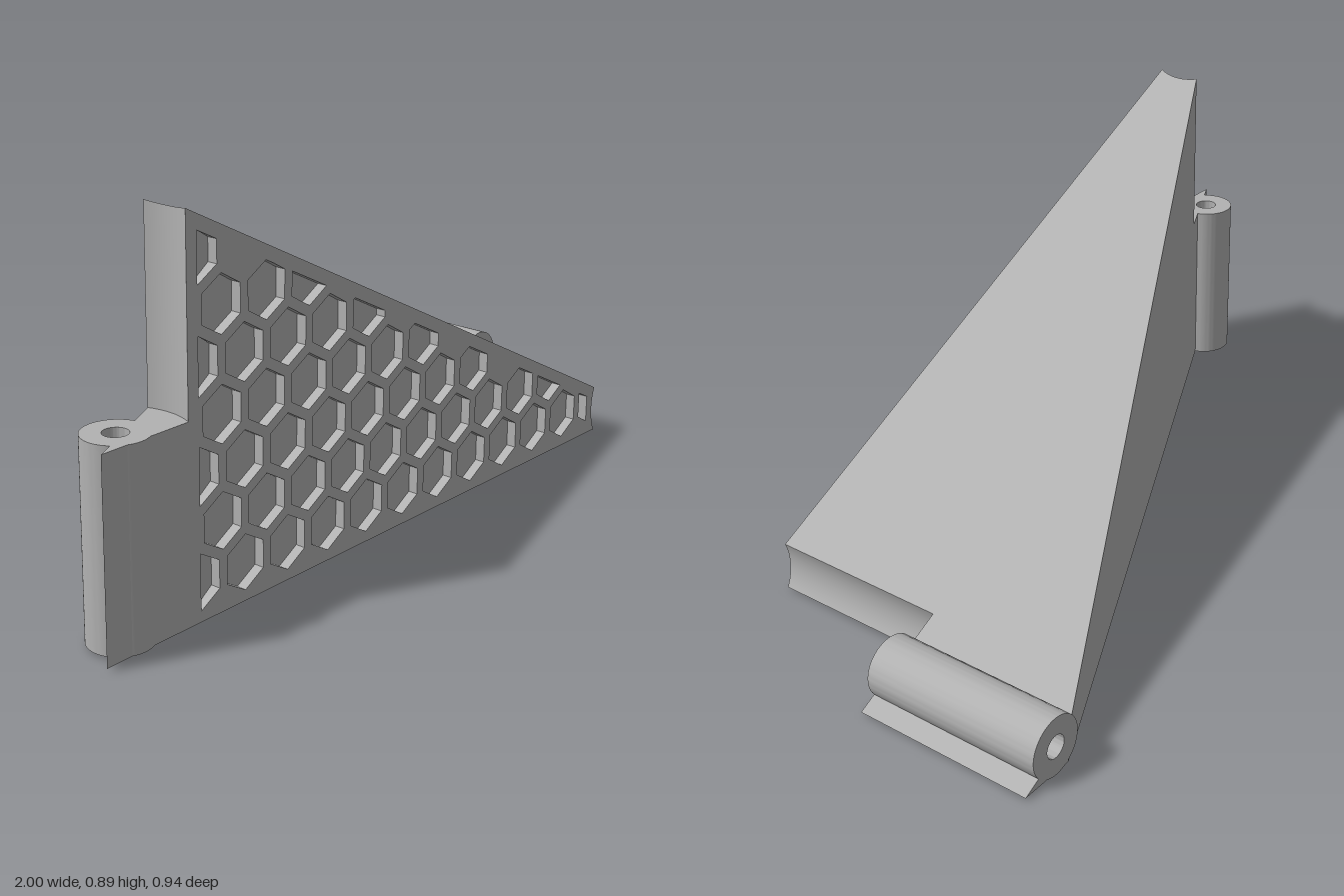
import * as THREE from 'three';
import { toCreasedNormals } from 'three/addons/utils/BufferGeometryUtils.js';

// The body is a tetrahedral wedge made of two alike halves (front + back wall, bottom + slope).
// Local frame of a half: u along the wedge, v depth below the panel, w along the hinge.
const BASE = 0.007, FRONT = 0.46;
const AXIS = [-0.9, 0.066], BARREL_R = 0.073, BORE_R = 0.028, NOTCH_R = 0.15;
const DEPTH = 0.024, PITCH = 0.1343, HEX_R = 0.064;

const grey = new THREE.MeshStandardMaterial({ color: 0xb2b2b2, side: THREE.DoubleSide });
grey.name = 'grey plastic';

// Points on a circle round the hinge axis
function arc(r, a0, a1, n) {
  return Array.from({ length: n + 1 }, (_, i) => {
    const a = a0 + (a1 - a0) * i / n;
    return [AXIS[0] + r * Math.cos(a), AXIS[1] + r * Math.sin(a)];
  });
}
// Where circles round the axis meet the sloping plane v = (u + 1) / 2
const slopeV = u => (u + 1) / 2;
const edgeW = u => (1 - u) / 2;
const normalA = Math.atan2(-2, 1);
const axisGap = (AXIS[1] - slopeV(AXIS[0])) * 2 / Math.sqrt(5);
const spread = r => Math.acos(axisGap / r);
const notch = arc(NOTCH_R, Math.asin(-AXIS[1] / NOTCH_R), normalA + spread(NOTCH_R), 12);
const bite = arc(BORE_R, normalA + spread(BORE_R), normalA - spread(BORE_R), 10);
const notchFront = notch[0][0], notchBack = notch[12][0];
const boreNear = bite[0][0], boreFar = bite[10][0];
const mirror = pts => pts.map(([u, v]) => [-u, v]);

const toShape = pts => new THREE.Shape(pts.map(p => new THREE.Vector2(...p)));
const mesh = (geo, name) => {
  const m = new THREE.Mesh(geo, grey);
  m.name = name;
  return m;
};

// Flat face: a 2D shape placed in the local frame by a rule
function face(shapes, place, name) {
  const geo = new THREE.ShapeGeometry(shapes);
  const pos = geo.attributes.position;
  for (let i = 0; i < pos.count; i++) pos.setXYZ(i, ...place(pos.getX(i), pos.getY(i)));
  geo.computeVertexNormals();
  return mesh(geo, name);
}

// Ribbon of quads between two matching rows of points
function ribbon(a, b, smooth, name) {
  const index = [];
  const n = a.length;
  for (let i = 0; i < n - 1; i++) index.push(i, i + 1, n + i, i + 1, n + i + 1, n + i);
  let geo = new THREE.BufferGeometry();
  geo.setAttribute('position', new THREE.Float32BufferAttribute([...a, ...b].flat(), 3));
  geo.setIndex(index);
  if (!smooth) geo = geo.toNonIndexed();
  geo.computeVertexNormals();
  return mesh(geo, name);
}

// Keep the part of a polygon where f >= 0
function clip(poly, f) {
  const out = [];
  poly.forEach((p, i) => {
    const q = poly[(i + 1) % poly.length], fp = f(p), fq = f(q);
    if (fp >= 0) out.push(p);
    if (fp * fq < 0) {
      const t = fp / (fp - fq);
      out.push([p[0] + (q[0] - p[0]) * t, p[1] + (q[1] - p[1]) * t]);
    }
  });
  return out;
}

// Honeycomb cells trimmed to the triangular panel
const LEFT = -0.735, RIGHT = 0.725;
function honeycomb() {
  const cells = [];
  for (let row = 0; row < 7; row++) {
    for (let col = 0; col < 12; col++) {
      const s = LEFT + (col + (row % 2) / 2) * PITCH;
      const t = 0.089 + row * PITCH * 0.866;
      if (edgeW(s) - 0.034 - t < -0.015) continue;
      let hex = Array.from({ length: 6 }, (_, k) => {
        const a = Math.PI / 6 + k * Math.PI / 3;
        return [s + HEX_R * Math.cos(a), t + HEX_R * Math.sin(a)];
      });
      hex = clip(hex, p => p[0] - LEFT);
      hex = clip(hex, p => RIGHT - p[0]);
      hex = clip(hex, p => edgeW(p[0]) - 0.034 - p[1]);
      if (hex.length > 2) cells.push(hex);
    }
  }
  return cells;
}

function buildHalf(name, o) {
  const half = new THREE.Group();
  half.name = name;

  // Panel with honeycomb pockets
  const panel = toShape(o.outline);
  const cells = honeycomb();
  cells.forEach(c => panel.holes.push(new THREE.Path(c.map(p => new THREE.Vector2(...p)))));
  half.add(face(panel, (x, y) => [x, 0, y], 'honeycombPanel'));
  const floors = cells.map(c => c.map(([s, t]) => [Math.max(s, LEFT + 0.011), t]));
  half.add(face(floors.map(toShape), (x, y) => [x, DEPTH, y], 'pocketFloors'));
  cells.forEach((c, i) => {
    const rim = c.map(([s, t]) => [s, 0, t]), low = floors[i].map(([s, t]) => [s, DEPTH, t]);
    half.add(ribbon([...rim, rim[0]], [...low, low[0]], false, 'pocketWall'));
  });

  // Large sloping wall opposite the panel
  half.add(face(o.wall.map(toShape), (x, y) => [x, slopeV(x), y], 'slopingWall'));

  // Hinge barrel with bore
  const ring = new THREE.Shape().absarc(...AXIS, BARREL_R, 0, Math.PI * 2);
  ring.holes.push(new THREE.Path().absarc(...AXIS, BORE_R, 0, Math.PI * 2, true));
  const barrel = new THREE.ExtrudeGeometry(ring, { depth: o.hi - o.lo, bevelEnabled: false, curveSegments: 36 });
  barrel.translate(0, 0, o.lo);
  half.add(mesh(toCreasedNormals(barrel, 0.6), 'hingeBarrel'));

  // Concave clearance for the mating barrel, and the ledge beside it
  half.add(ribbon(notch.map(([u, v]) => [u, v, o.notchW(u)[0]]),
    notch.map(([u, v]) => [u, v, o.notchW(u)[1]]), true, 'hingeClearance'));
  half.add(face(toShape([[-1, 0], ...notch, ...bite]), (x, y) => [x, y, o.ledge], 'hingeLedge'));
  return half;
}

export function createModel() {
  const model = new THREE.Group();
  model.name = 'hingedWedge';
  const H = 0.448, LO = 0.47, HI = 0.93, END = -0.86;

  // Front panel, back wall and upright hinge
  const front = buildHalf('frontHalf', {
    lo: 0, hi: H, ledge: H,
    notchW: u => [H, edgeW(u)],
    outline: [[-1, 0], [-1, H], [notchFront, H], [notchFront, edgeW(notchFront)],
      ...mirror(notch).reverse()],
    wall: [
      [[-1, 0], [boreFar, 0], [boreFar, H], [-1, H]],
      [[boreNear, 0], [boreNear, H], [notchBack, H], [notchBack, edgeW(notchBack)],
        [-END, edgeW(-END)], [-END, 0]],
    ],
  });
  front.rotation.x = -Math.PI / 2;

  // Bottom panel, top slope and lying hinge
  const bottom = buildHalf('bottomHalf', {
    lo: LO, hi: HI, ledge: LO,
    notchW: () => [0, LO],
    outline: [[notchFront, 0], [notchFront, LO], [-1, LO], [-1, HI], [END, HI],
      ...mirror(bite), [1, 0]],
    wall: [
      [[-1, LO], [boreFar, LO], [boreFar, HI], [-1, HI]],
      [[notchBack, 0], [notchBack, LO], [boreNear, LO], [boreNear, HI], [END, HI],
        ...mirror(notch).reverse()],
    ],
  });
  bottom.add(face(toShape([[-1, 0], [END, 0], [END, slopeV(END)], ...bite]), (x, y) => [x, y, HI], 'endCap'));
  bottom.rotation.y = Math.PI;

  for (const half of [front, bottom]) {
    half.position.set(0, BASE, FRONT);
    model.add(half);
  }
  return model;
}
